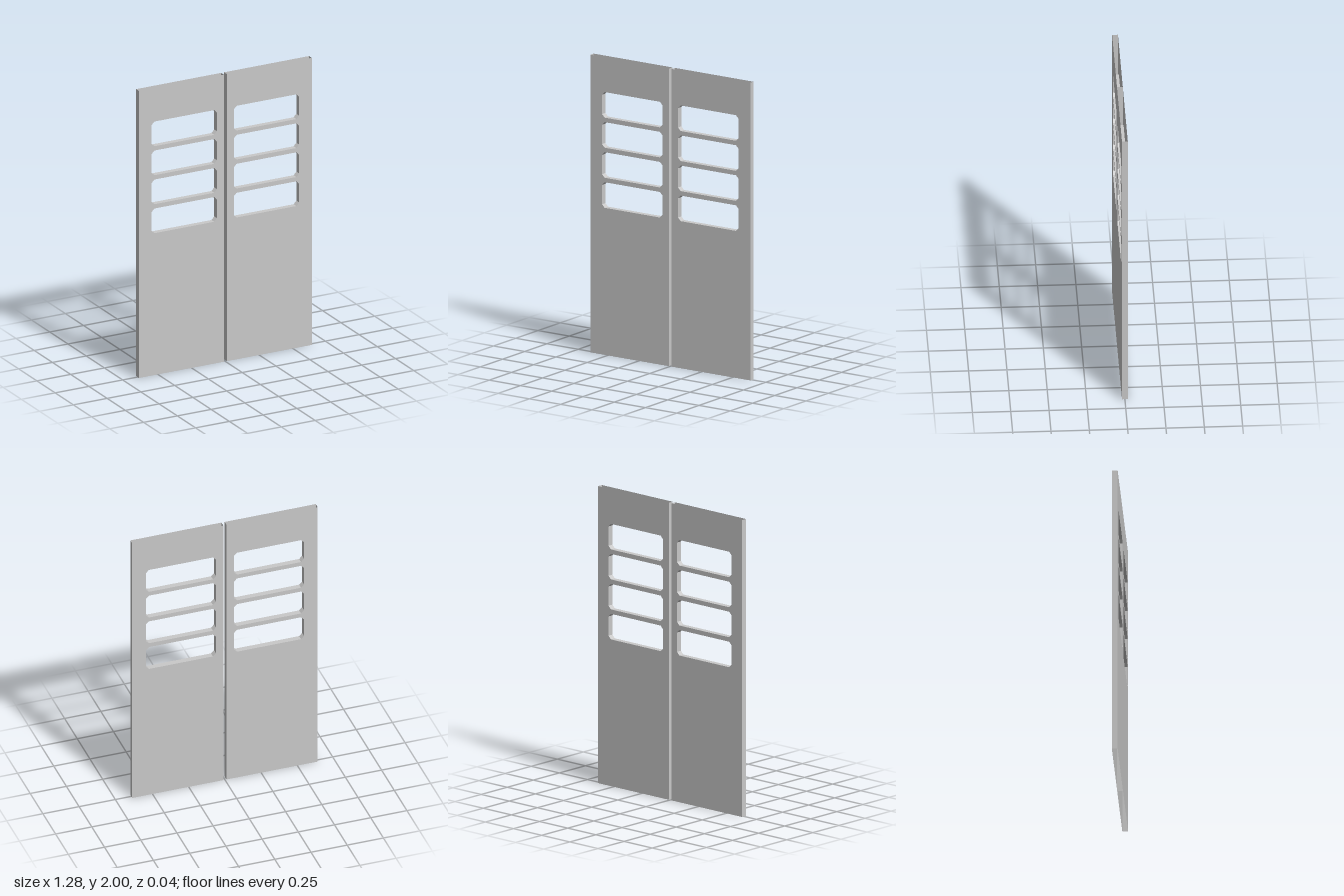
import * as THREE from 'three';

const HEIGHT = 2, INNER = 0.011, OUTER = 0.64, THICK = 0.038;

// Rectangular opening with cut corners
function windowHole(x0, x1, y0, y1, c) {
  return new THREE.Path([
    [x0 + c, y0], [x0, y0 + c], [x0, y1 - c], [x0 + c, y1],
    [x1 - c, y1], [x1, y1 - c], [x1, y0 + c], [x1 - c, y0],
  ].map(([x, y]) => new THREE.Vector2(x, y)));
}

// Drop the end caps: the hollow panel is open along its top and bottom edges
function openEnds(geometry) {
  const p = geometry.attributes.position;
  const kept = [];
  for (let i = 0; i < p.count; i += 3) {
    const ys = [0, 1, 2].map((k) => p.getY(i + k));
    const isCap = [0, HEIGHT].some((e) => ys.every((y) => Math.abs(y - e) < 1e-5));
    if (isCap) continue;
    for (let k = 0; k < 3; k++) kept.push(p.getX(i + k), p.getY(i + k), p.getZ(i + k));
  }
  const open = new THREE.BufferGeometry();
  open.setAttribute('position', new THREE.Float32BufferAttribute(kept, 3));
  open.computeVertexNormals();
  return open;
}

// One door leaf, on the +x side (side = 1) or the -x side (side = -1)
function doorLeaf(side, material) {
  const [a, b] = side > 0 ? [INNER, OUTER] : [-OUTER, -INNER];
  const [h0, h1] = side > 0 ? [0.062, 0.546] : [-0.546, -0.062];
  const shape = new THREE.Shape([
    new THREE.Vector2(a, 0), new THREE.Vector2(b, 0),
    new THREE.Vector2(b, HEIGHT), new THREE.Vector2(a, HEIGHT),
  ]);
  // Four stacked window openings
  for (let i = 0; i < 4; i++) {
    const y = 0.988 + i * 0.202;
    shape.holes.push(windowHole(h0, h1, y, y + 0.172, 0.021));
  }
  const geometry = new THREE.ExtrudeGeometry(shape, { depth: THICK, bevelEnabled: false });
  geometry.translate(0, 0, -THICK / 2);
  const mesh = new THREE.Mesh(openEnds(geometry), material);
  mesh.name = side > 0 ? 'leftDoorLeaf' : 'rightDoorLeaf';
  return mesh;
}

export function createModel() {
  const grey = new THREE.MeshStandardMaterial({ color: 0xc9c9c9, side: THREE.DoubleSide });
  grey.name = 'lightGrey';
  const group = new THREE.Group();
  group.name = 'doubleDoor';
  for (const side of [-1, 1]) group.add(doorLeaf(side, grey));
  return group;
}
